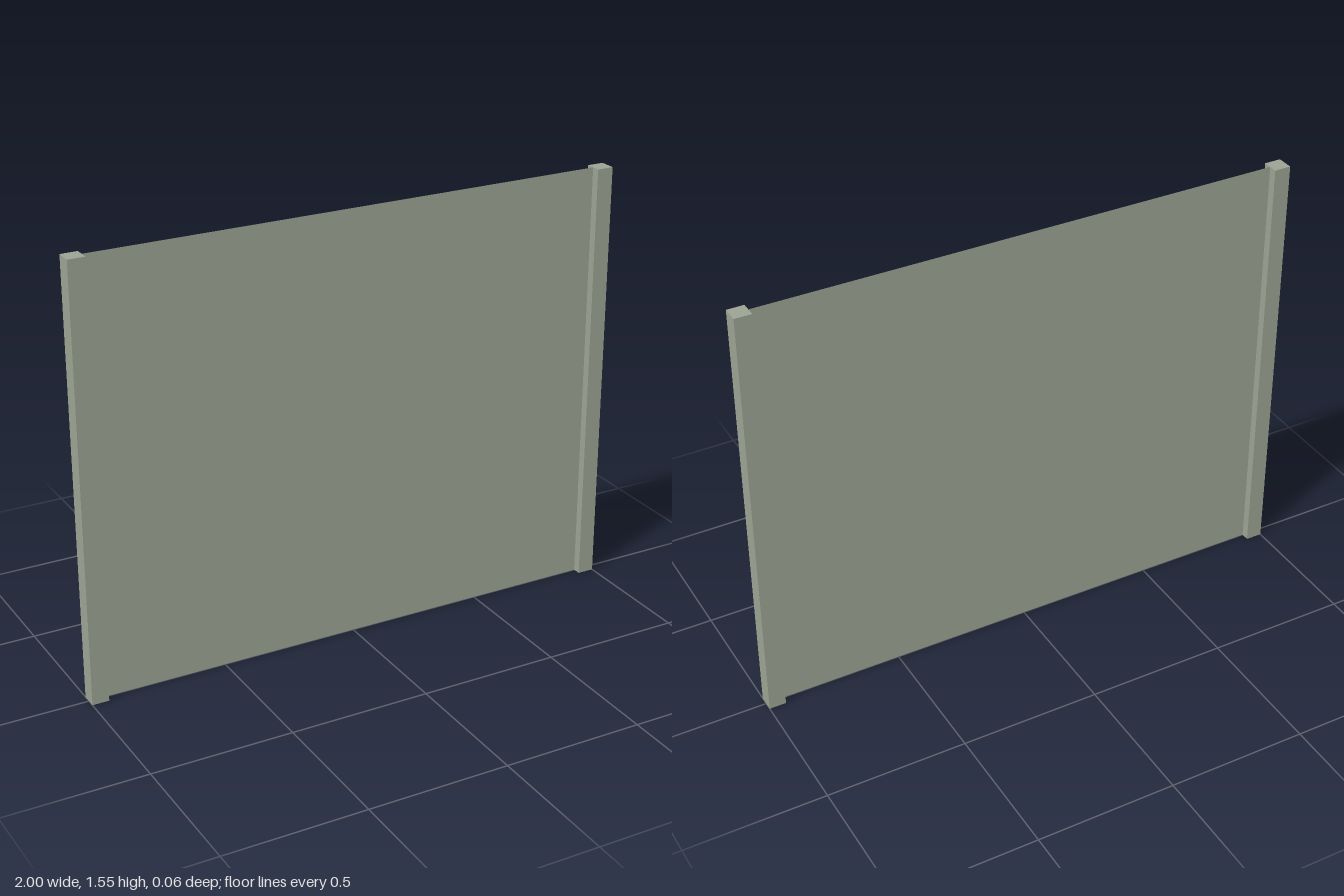
import * as THREE from 'three';

const HEIGHT = 1.55;
const POST = 0.06;

export function createModel() {
  const group = new THREE.Group();
  group.name = 'fencePanel';

  const paint = new THREE.MeshStandardMaterial({ color: 0x9ca393, side: THREE.DoubleSide });
  paint.name = 'sageGreen';

  // Square posts at both ends
  for (const [name, side] of [['leftPost', 1], ['rightPost', -1]]) {
    const post = new THREE.Mesh(new THREE.BoxGeometry(POST, HEIGHT, POST), paint);
    post.name = name;
    post.position.set(side * (1 - POST / 2), HEIGHT / 2, 0);
    group.add(post);
  }

  // Paper-thin sheet stretched between the posts
  const sheet = new THREE.Mesh(new THREE.PlaneGeometry(2 - 2 * POST, HEIGHT), paint);
  sheet.name = 'sheet';
  sheet.position.y = HEIGHT / 2;
  group.add(sheet);

  return group;
}
